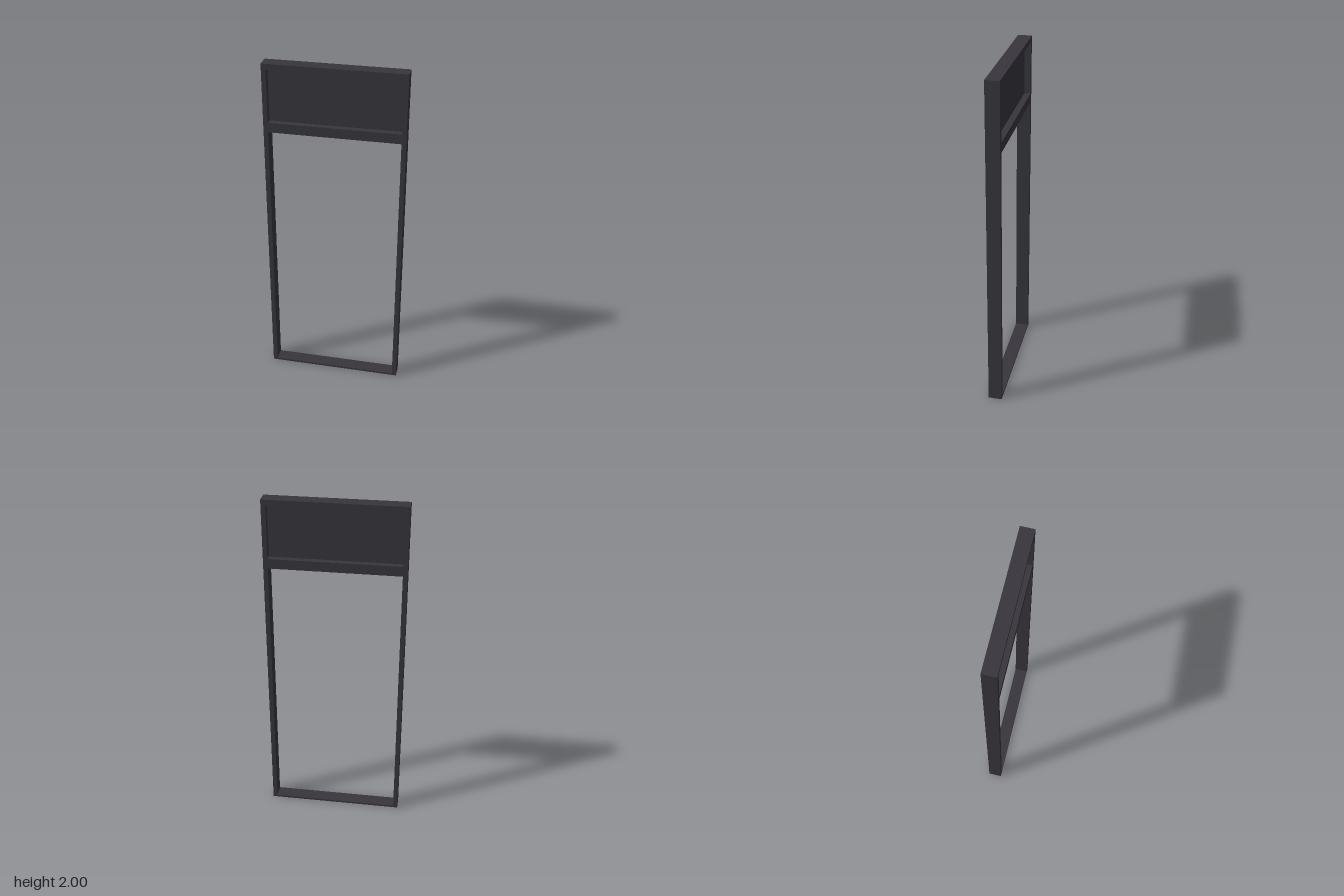
import * as THREE from 'three';

// Overall sizes
const HALF_W = 0.4, HEIGHT = 2, DEPTH = 0.08;
const INNER = 0.374; // half width of both openings
const SILL_TOP = 0.012, RAIL_BOTTOM = 1.603, RAIL_TOP = 1.66, HEAD_BOTTOM = 1.967;

function rectangle(target, halfWidth, y0, y1) {
  target.moveTo(-halfWidth, y0);
  target.lineTo(halfWidth, y0);
  target.lineTo(halfWidth, y1);
  target.lineTo(-halfWidth, y1);
  target.closePath();
  return target;
}

export function createModel() {
  const model = new THREE.Group();
  model.name = 'doorFrame';

  const charcoal = new THREE.MeshStandardMaterial({ color: 0x38363c });
  charcoal.name = 'charcoal';

  // Posts, sill, middle rail and head as one frame with two openings
  const outline = rectangle(new THREE.Shape(), HALF_W, 0, HEIGHT);
  outline.holes.push(
    rectangle(new THREE.Path(), INNER, SILL_TOP, RAIL_BOTTOM),
    rectangle(new THREE.Path(), INNER, RAIL_TOP, HEAD_BOTTOM)
  );
  const frameGeometry = new THREE.ExtrudeGeometry(outline, { depth: DEPTH, bevelEnabled: false });
  frameGeometry.translate(0, 0, -DEPTH / 2);
  const frame = new THREE.Mesh(frameGeometry, charcoal);
  frame.name = 'frame';
  model.add(frame);

  // Thin panel set midway in the upper opening
  const panel = new THREE.Mesh(
    new THREE.BoxGeometry(INNER * 2, HEAD_BOTTOM - RAIL_TOP, 0.008),
    charcoal
  );
  panel.name = 'transomPanel';
  panel.position.y = (HEAD_BOTTOM + RAIL_TOP) / 2;
  model.add(panel);

  return model;
}
